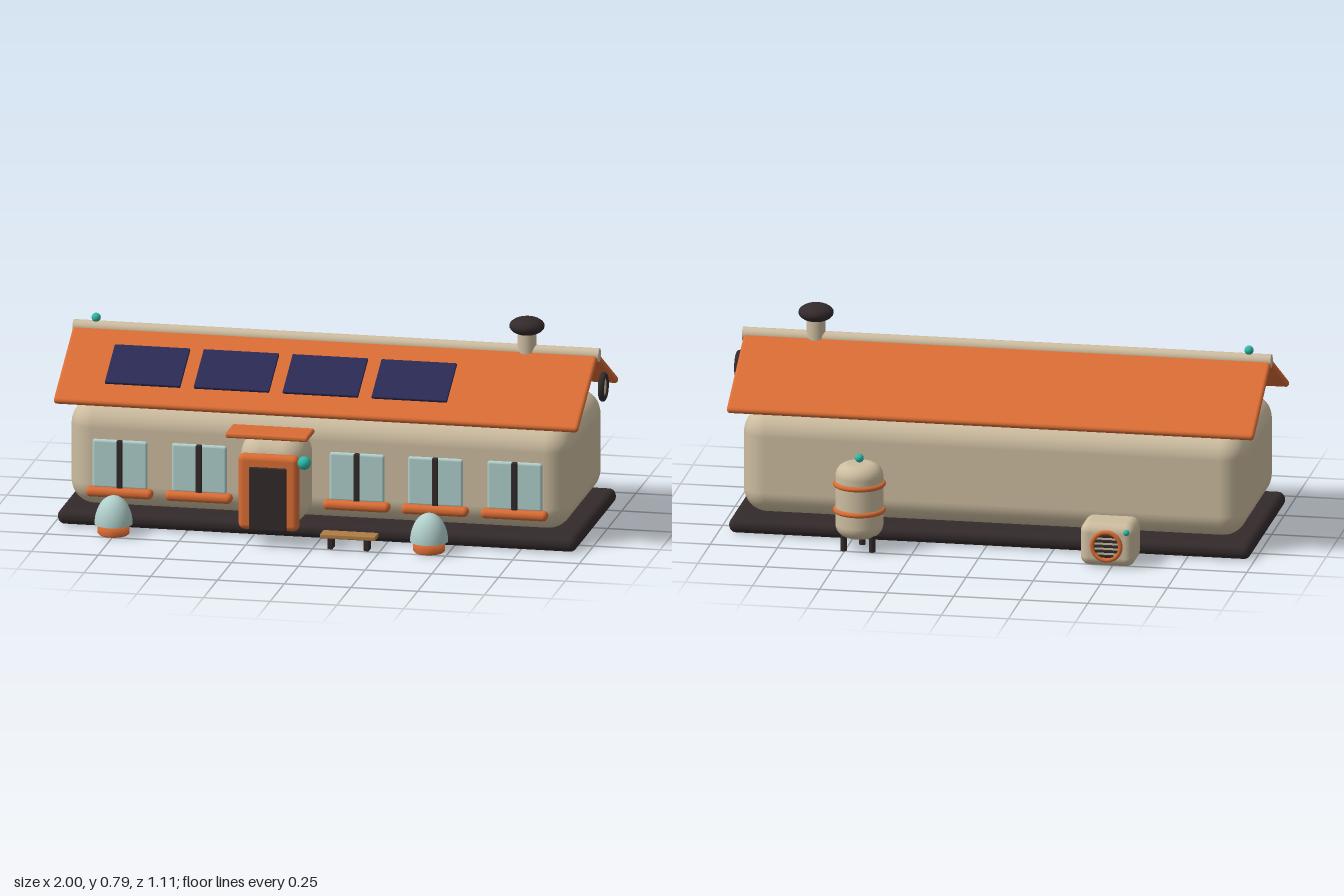
import * as THREE from 'three';
import { RoundedBoxGeometry } from 'three/addons/geometries/RoundedBoxGeometry.js';

export function createModel() {
  const house = new THREE.Group();
  house.name = 'house';
  const mat = (name, color) => {
    const m = new THREE.MeshStandardMaterial({ color });
    m.name = name;
    return m;
  };
  const cream = mat('cream', 0xcdbda0);
  const orange = mat('orange', 0xd96c34);
  const dark = mat('charcoal', 0x332a2b);
  const navy = mat('navy', 0x2b2a55);
  const glass = mat('paleGlass', 0xb0cfcb);
  const teal = mat('teal', 0x2fb8a8);
  const wood = mat('wood', 0xb07d45);

  const add = (name, geometry, material, x, y, z, parent = house) => {
    const mesh = new THREE.Mesh(geometry, material);
    mesh.name = name;
    mesh.position.set(x, y, z);
    parent.add(mesh);
    return mesh;
  };
  // Rounded box given by its extents
  const block = (name, material, [x0, x1], [y0, y1], [z0, z1], r, parent = house) =>
    add(name, new RoundedBoxGeometry(x1 - x0, y1 - y0, z1 - z0, 5, r), material,
      (x0 + x1) / 2, (y0 + y1) / 2, (z0 + z1) / 2, parent);
  const ball = (name, r, material, x, y, z, parent) =>
    add(name, new THREE.SphereGeometry(r, 24, 16), material, x, y, z, parent);
  const rod = (name, r, len, material, x, y, z, parent) =>
    add(name, new THREE.CylinderGeometry(r, r, len, 28), material, x, y, z, parent);
  const group = (name, x, y, z) => {
    const g = new THREE.Group();
    g.name = name;
    g.position.set(x, y, z);
    house.add(g);
    return g;
  };

  const midZ = 0.009;

  // Foundation and main body
  block('foundation', dark, [-0.985, 0.96], [0.003, 0.06], [-0.36, 0.375], 0.027);
  block('body', cream, [-0.953, 0.922], [0.064, 0.458], [-0.325, 0.34], 0.09);

  // Open gable roof: two tilted slabs and a ridge tube
  const pitch = THREE.MathUtils.degToRad(28);
  for (const side of [1, -1]) {
    const slab = add(side > 0 ? 'frontRoof' : 'backRoof',
      new RoundedBoxGeometry(1.965, 0.026, 0.412, 5, 0.0125), orange,
      -0.0155, 0.564, midZ + side * 0.182);
    slab.rotation.x = side * pitch;
  }
  rod('ridge', 0.025, 1.97, cream, -0.013, 0.661, midZ).rotation.z = Math.PI / 2;
  ball('ridgeLight', 0.017, teal, -0.914, 0.698, midZ);

  // Solar panels
  for (let i = 0; i < 4; i++) {
    const panel = add('solarPanel', new RoundedBoxGeometry(0.283, 0.012, 0.205, 2, 0.004),
      navy, -0.68 + i * 0.333, 0.578, 0.205);
    panel.rotation.x = pitch;
  }

  // Chimney
  rod('chimneyPipe', 0.035, 0.09, cream, 0.7, 0.69, midZ);
  ball('chimneyCap', 0.065, dark, 0.7, 0.757, midZ).scale.y = 0.52;

  // Round gable vent on the left end
  add('ventRing', new THREE.TorusGeometry(0.043, 0.0115, 14, 40), dark, 0.986, 0.541, midZ)
    .rotation.y = Math.PI / 2;
  rod('ventDisc', 0.034, 0.012, cream, 0.985, 0.541, midZ).rotation.z = Math.PI / 2;

  // Windows with mullion and sill
  for (const x of [-0.754, -0.457, 0.134, 0.428, 0.725]) {
    block('windowGlass', glass, [x - 0.103, x + 0.103], [0.145, 0.329], [0.325, 0.349], 0.01);
    block('mullion', dark, [x - 0.011, x + 0.011], [0.145, 0.329], [0.33, 0.358], 0.004);
    block('sill', orange, [x - 0.125, x + 0.125], [0.114, 0.15], [0.325, 0.374], 0.017);
  }

  // Entrance porch
  block('porch', cream, [-0.286, -0.035], [0.064, 0.412], [0.25, 0.487], 0.085);
  block('doorFrame', orange, [-0.276, -0.05], [0.063, 0.35], [0.473, 0.52], 0.022);
  block('door', dark, [-0.233, -0.093], [0.065, 0.305], [0.485, 0.526], 0.005);
  block('canopy', orange, [-0.317, -0.008], [0.417, 0.438], [0.42, 0.552], 0.009);
  ball('porchLamp', 0.025, teal, -0.024, 0.334, 0.532);

  // Domed planters
  for (const x of [-0.754, 0.428]) {
    const g = group('planter', x, 0, 0.457);
    const base = [[0, 0.003], [0.053, 0.003], [0.059, 0.009], [0.059, 0.044], [0, 0.044]];
    add('planterBase', new THREE.LatheGeometry(base.map(p => new THREE.Vector2(...p)), 32),
      orange, 0, 0, 0, g);
    add('planterDome', new THREE.SphereGeometry(0.07, 32, 12, 0, Math.PI * 2, 0, Math.PI / 2),
      glass, 0, 0.043, 0, g).scale.y = 1.52;
    add('domeFloor', new THREE.CircleGeometry(0.07, 32), glass, 0, 0.043, 0, g)
      .rotation.x = Math.PI / 2;
  }

  // Bench
  block('benchSeat', wood, [0.03, 0.238], [0.045, 0.062], [0.45, 0.512], 0.004);
  for (const x of [0.066, 0.202])
    block('benchLeg', dark, [x - 0.01, x + 0.01], [0.003, 0.047], [0.459, 0.503], 0.003);

  // Water tank behind the house
  const tank = group('waterTank', 0.452, 0, -0.458);
  const profile = [new THREE.Vector2(0, 0.05)];
  for (const [cy, a0] of [[0.098, -90], [0.282, 0]])
    for (let i = 0; i <= 8; i++) {
      const a = THREE.MathUtils.degToRad(a0 + i * 11.25);
      profile.push(new THREE.Vector2(0.04 + 0.048 * Math.cos(a), cy + 0.048 * Math.sin(a)));
    }
  profile.push(new THREE.Vector2(0, 0.33));
  add('tankShell', new THREE.LatheGeometry(profile, 36), cream, 0, 0, 0, tank);
  for (const y of [0.153, 0.252])
    add('tankBand', new THREE.TorusGeometry(0.088, 0.0095, 12, 40), orange, 0, y, 0, tank)
      .rotation.x = Math.PI / 2;
  for (let i = 0; i < 3; i++) {
    const a = i * Math.PI * 2 / 3;
    rod('tankLeg', 0.012, 0.085, dark, 0.061 * Math.sin(a), 0.0435, 0.061 * Math.cos(a), tank);
  }
  ball('tankLight', 0.016, teal, 0, 0.348, 0, tank);
  rod('tankPipe', 0.012, 0.1, dark, 0.452, 0.223, -0.345).rotation.x = Math.PI / 2;

  // Air unit behind the house
  const ax = -0.483, ay = 0.084;
  block('airUnit', cream, [-0.585, -0.382], [0.003, 0.165], [-0.537, -0.38], 0.035);
  add('fanRing', new THREE.TorusGeometry(0.053, 0.0085, 12, 36), orange, ax, ay, -0.539);
  for (let i = -2; i <= 2; i++) {
    const half = Math.sqrt(0.053 ** 2 - (i * 0.019) ** 2);
    block('fanSlat', dark, [ax - half, ax + half],
      [ay + i * 0.019 - 0.005, ay + i * 0.019 + 0.005], [-0.543, -0.534], 0.002);
  }
  ball('unitLight', 0.012, teal, -0.556, 0.137, -0.53);
  rod('unitPipe', 0.014, 0.1, dark, ax, 0.119, -0.35).rotation.x = Math.PI / 2;

  return house;
}
